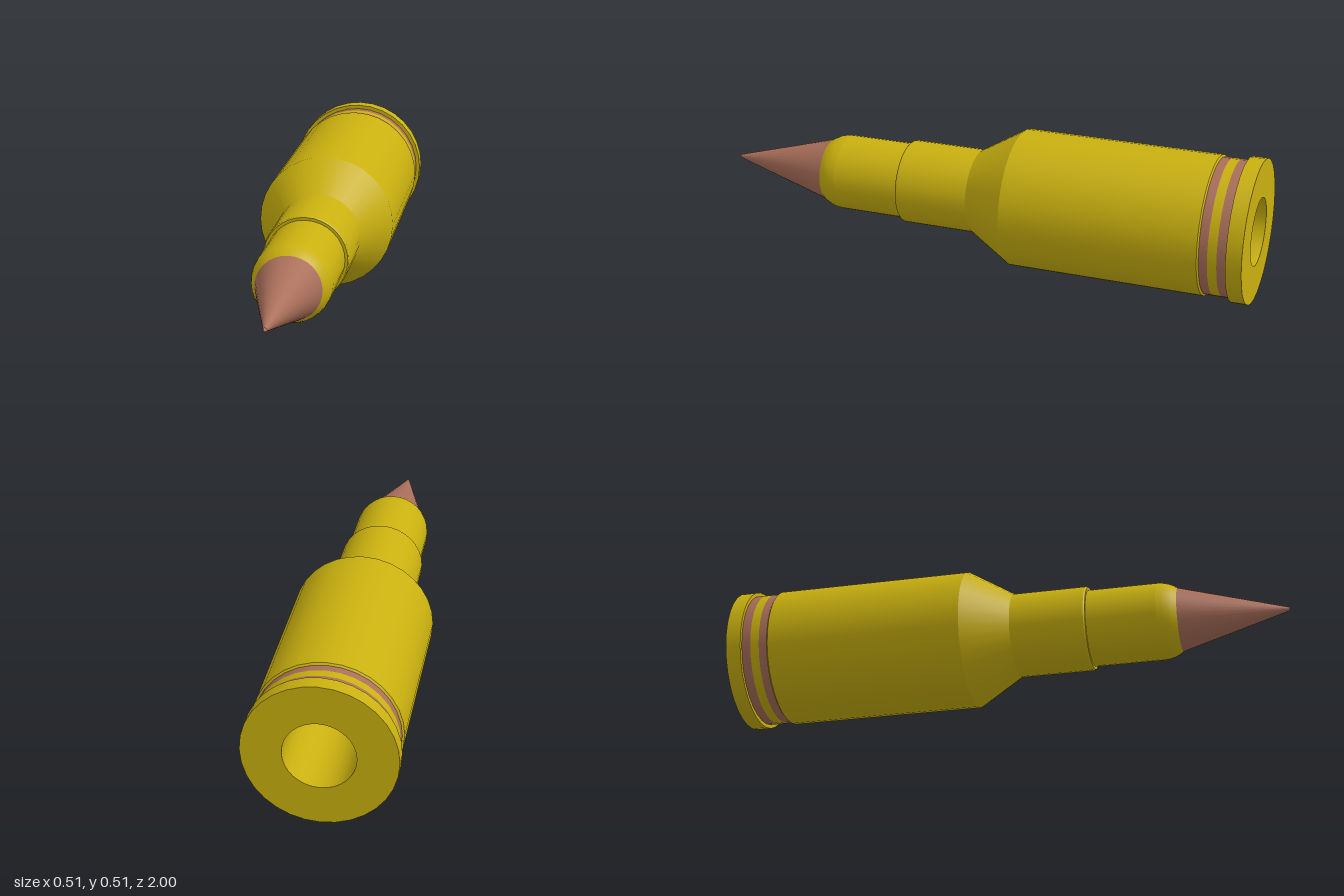
import * as THREE from 'three';

const SIDES = 32;
const AXIS_Y = 0.255;
const brass = new THREE.MeshStandardMaterial({ color: 0xc9b00f, side: THREE.DoubleSide });
const copper = new THREE.MeshStandardMaterial({ color: 0xaa6f5a, side: THREE.DoubleSide });

// Turned part along z from [radius, z] points; each run is smooth, edges between runs stay sharp
function turned(name, material, ...runs) {
  const part = new THREE.Group();
  part.name = name;
  for (const run of runs) {
    const points = run.map(([r, z]) => new THREE.Vector2(r, z));
    const geometry = new THREE.LatheGeometry(points, SIDES).rotateX(Math.PI / 2);
    const mesh = new THREE.Mesh(geometry, material);
    mesh.name = name;
    part.add(mesh);
  }
  return part;
}

// Straight-edged profile: every segment becomes its own run
const edges = (points) => points.slice(1).map((p, i) => [points[i], p]);

export function createModel() {
  const model = new THREE.Group();
  model.name = 'model';
  const body = new THREE.Group();
  body.name = 'turnedBody';
  body.position.y = AXIS_Y;
  model.add(body);

  // Base rim with the open rear end
  body.add(turned('baseRim', brass,
    ...edges([[0.12, -1], [0.255, -1], [0.255, -0.945], [0.241, -0.945]])));

  // Recessed bands between rim and body
  const bandEdges = [-0.945, -0.912, -0.88, -0.85];
  for (let i = 0; i < 3; i++) {
    body.add(turned(i === 1 ? 'middleBand' : 'copperBand', i === 1 ? brass : copper,
      [[0.241, bandEdges[i]], [0.241, bandEdges[i + 1]]]));
  }

  // Main cylinder, sloped shoulder and neck with a chamfered lip
  body.add(turned('casing', brass, ...edges([
    [0.241, -0.85], [0.248, -0.845], [0.248, -0.137], [0.152, 0.024],
    [0.152, 0.29], [0.148, 0.296], [0.138, 0.296],
  ])));

  // Front sleeve, rounded towards the point
  body.add(turned('sleeve', brass,
    [[0.138, 0.296], [0.138, 0.545]],
    [[0.138, 0.545], [0.136, 0.565], [0.131, 0.585], [0.123, 0.602], [0.114, 0.615]]));

  // Pointed nose with a tiny open tip
  body.add(turned('nose', copper, [[0.114, 0.615], [0.006, 1]]));

  // Hollow bore
  body.add(turned('bore', brass, [[0.114, 0.61], [0.12, -1]]));

  return model;
}
